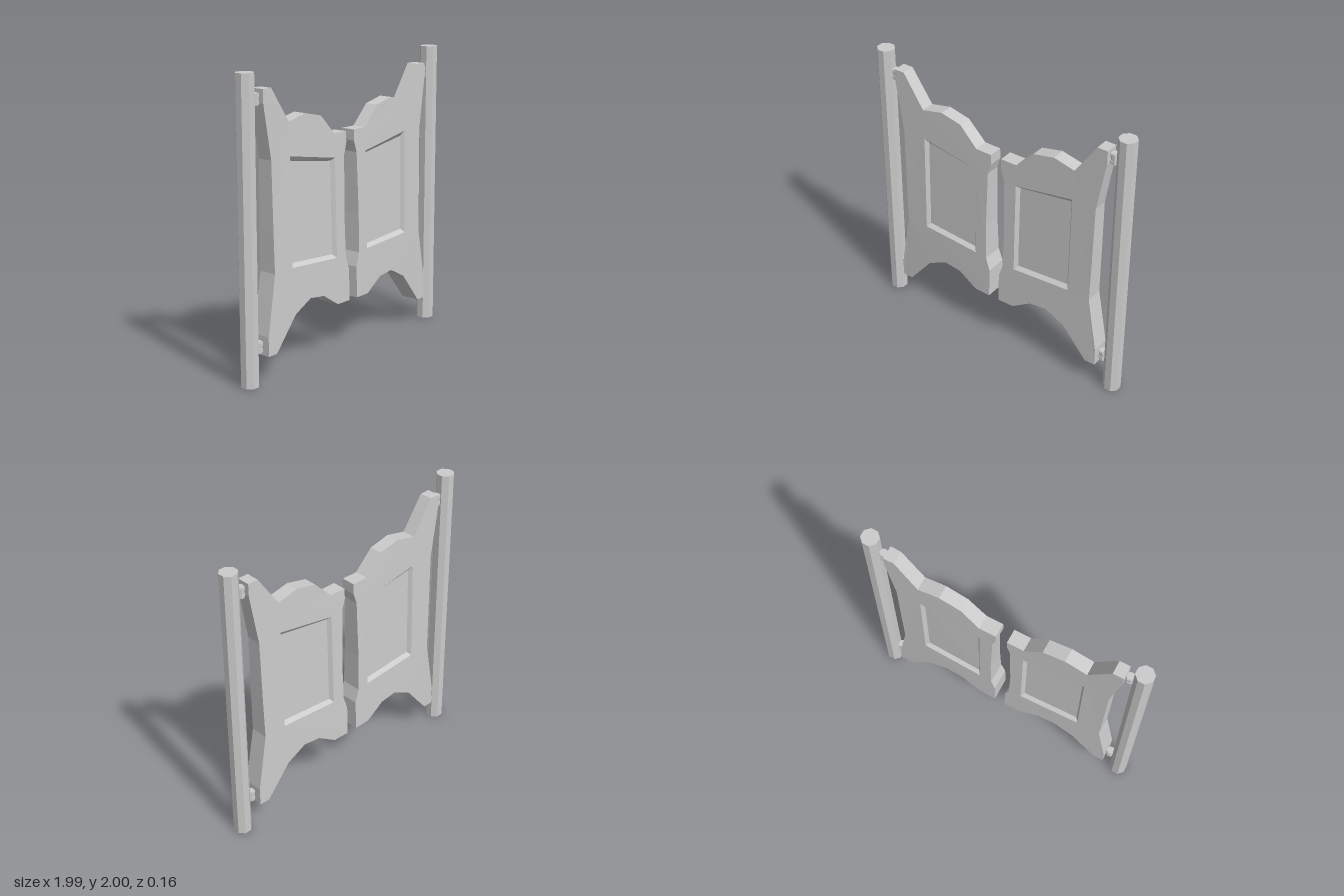
import * as THREE from 'three';

const material = new THREE.MeshStandardMaterial({ color: 0xcccccc, flatShading: true, side: THREE.DoubleSide });

// Door outline and panel corners for the +x door, counter-clockwise from the front
const outline = [
  [0.04, 1.525], [0.04, 1.45], [0.065, 1.37], [0.075, 0.95], [0.07, 0.68], [0.04, 0.585],
  [0.04, 0.37], [0.16, 0.37], [0.30, 0.46], [0.43, 0.475], [0.575, 0.40], [0.755, 0.18],
  [0.83, 0.18], [0.83, 0.31], [0.76, 0.71], [0.765, 1.0], [0.77, 1.44], [0.83, 1.80],
  [0.83, 1.89], [0.755, 1.89], [0.60, 1.66], [0.445, 1.695], [0.29, 1.66], [0.16, 1.525],
];
const recessOuter = [[0.16, 0.69], [0.595, 0.715], [0.595, 1.44], [0.16, 1.365]];
const recessInner = [[0.18, 0.715], [0.575, 0.74], [0.575, 1.405], [0.18, 1.345]];
const recessDepth = 0.025;

// Half thickness: heavier toward the bottom and toward the middle gap
function halfThickness(x, y) {
  const u = (x - 0.04) / 0.79;
  const rise = Math.max(y - 0.4, 0);
  return 0.081 - 0.015 * u - (0.028 - 0.015 * u) * rise;
}

const loopAt = (points, side, depth = 0) =>
  points.map(([x, y]) => [x, y, side * (halfThickness(x, y) - depth)]);

// Band of quads between two closed loops
function band(a, b) {
  const positions = [];
  a.forEach((p, i) => {
    const j = (i + 1) % a.length;
    for (const v of [p, a[j], b[j], p, b[j], b[i]]) positions.push(...v);
  });
  const geometry = new THREE.BufferGeometry();
  geometry.setAttribute('position', new THREE.Float32BufferAttribute(positions, 3));
  geometry.computeVertexNormals();
  return geometry;
}

// Filled face that follows the door's thickness on one side
function face(points, side, depth = 0, hole = null) {
  const toVectors = (list) => list.map(([x, y]) => new THREE.Vector2(x, y));
  const shape = new THREE.Shape(toVectors(points));
  if (hole) shape.holes.push(new THREE.Path(toVectors(hole)));
  const geometry = new THREE.ShapeGeometry(shape);
  const position = geometry.attributes.position;
  for (let i = 0; i < position.count; i++) {
    position.setZ(i, side * (halfThickness(position.getX(i), position.getY(i)) - depth));
  }
  if (side < 0) geometry.index.array.reverse();
  geometry.computeVertexNormals();
  return geometry;
}

function addMesh(parent, name, geometry, x = 0, y = 0) {
  const mesh = new THREE.Mesh(geometry, material);
  mesh.name = name;
  mesh.position.set(x, y, 0);
  parent.add(mesh);
}

// Eight-sided upright with a flat side to the front
const octagon = (apothem, height) =>
  new THREE.CylinderGeometry(apothem / Math.cos(Math.PI / 8), apothem / Math.cos(Math.PI / 8), height, 8, 1, false, Math.PI / 8);

function makeDoor() {
  const door = new THREE.Group();
  door.name = 'door';
  addMesh(door, 'doorEdge', band(loopAt(outline, -1), loopAt(outline, 1)));
  for (const side of [1, -1]) {
    const label = side > 0 ? 'front' : 'back';
    addMesh(door, label + 'Face', face(outline, side, 0, recessOuter));
    const rim = loopAt(recessOuter, side);
    const floor = loopAt(recessInner, side, recessDepth);
    addMesh(door, label + 'PanelBevel', side > 0 ? band(rim, floor) : band(floor, rim));
    addMesh(door, label + 'Panel', face(recessInner, side, recessDepth));
  }
  return door;
}

// Hinge: a core between two wider knuckles
function makeHinge(y) {
  const hinge = new THREE.Group();
  hinge.name = 'hinge';
  hinge.position.set(0.856, y, 0);
  addMesh(hinge, 'hingeCore', octagon(0.024, 0.076));
  for (const s of [-1, 1]) addMesh(hinge, 'hingeKnuckle', octagon(0.028, 0.02), 0, s * 0.021);
  return hinge;
}

function makeSide(name) {
  const side = new THREE.Group();
  side.name = name;
  addMesh(side, 'post', octagon(0.057, 2), 0.938, 1);
  side.add(makeDoor(), makeHinge(1.828), makeHinge(0.24));
  return side;
}

export function createModel() {
  const model = new THREE.Group();
  model.name = 'swingDoors';
  const left = makeSide('leftSide');
  // Front and back match, so a half turn gives the mirrored side
  const right = makeSide('rightSide');
  right.rotation.y = Math.PI;
  model.add(left, right);
  return model;
}
